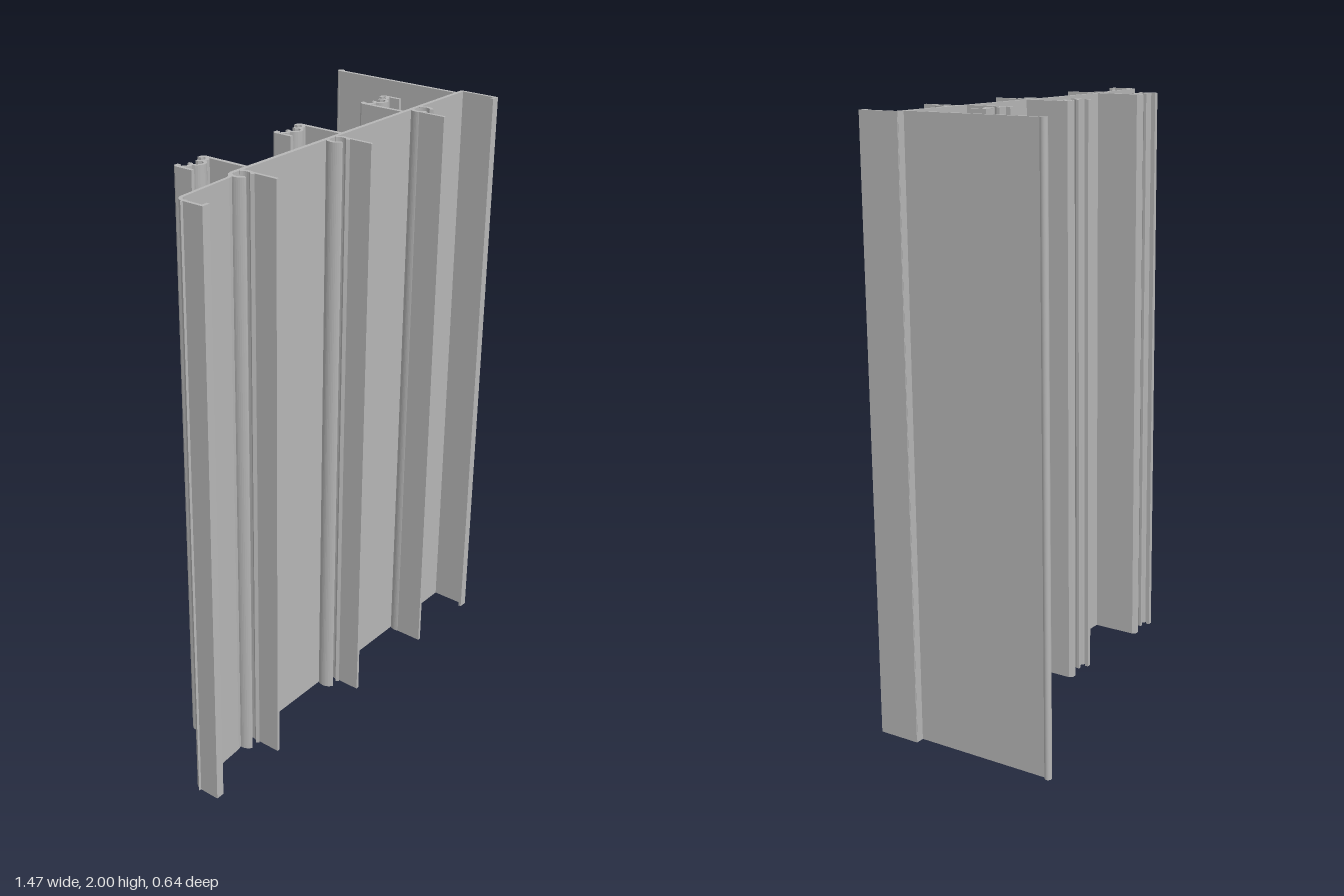
import * as THREE from 'three';

const HEIGHT = 2;
const aluminium = new THREE.MeshStandardMaterial({ color: 0xb6b6b6 });
aluminium.name = 'aluminium';

// Thin wall of constant thickness following a plan path of [x, z] points, raised to full height
function wall(name, path, thickness) {
  const p = path.map(([x, z]) => new THREE.Vector2(x, -z));
  const left = [], right = [];
  p.forEach((q, i) => {
    const a = q.clone().sub(p[Math.max(i - 1, 0)]).normalize();
    const b = p[Math.min(i + 1, p.length - 1)].clone().sub(q).normalize();
    const d = (i === 0 ? b : i === p.length - 1 ? a : a.clone().add(b)).clone().normalize();
    const ref = i === 0 ? b : a;
    const reach = thickness / 2 / Math.max(d.dot(ref), 0.4); // mitred corner
    const n = new THREE.Vector2(-d.y, d.x).multiplyScalar(reach);
    left.push(q.clone().add(n));
    right.push(q.clone().sub(n));
  });
  const shape = new THREE.Shape([...left, ...right.reverse()]);
  const geometry = new THREE.ExtrudeGeometry(shape, { depth: HEIGHT, bevelEnabled: false });
  geometry.rotateX(-Math.PI / 2);
  const mesh = new THREE.Mesh(geometry, aluminium);
  mesh.name = name;
  return mesh;
}

// Plan arc points; angles in degrees, 0 = +x, 90 = +z
function arc(cx, cz, r, from, to, steps = 12) {
  return Array.from({ length: steps + 1 }, (_, i) => {
    const t = THREE.MathUtils.degToRad(from + ((to - from) * i) / steps);
    return [cx + r * Math.cos(t), cz + r * Math.sin(t)];
  });
}

// One track: rear post and clip channel, front screw boss and fin
function track(name, cx, side) {
  const group = new THREE.Group();
  group.name = name;
  const add = (part, path, t) =>
    group.add(wall(part, path.map(([x, z]) => [cx + side * x, z]), t));

  // rear post and channel
  add('post', [[0.06, 0.183], [0.06, 0.022], [0.054, 0.015], [0.042, 0.015]], 0.014);
  add('channelArm', [[-0.061, 0.083], [-0.061, 0.022], [-0.056, 0.015], [-0.043, 0.015]], 0.012);
  add('channelCup', [[-0.017, 0.027], [-0.017, 0.036], ...arc(0, 0.045, 0.023, 180, 0),
    [0.017, 0.036], [0.017, 0.027]], 0.010);
  for (const s of [-1, 1]) {
    add('channelBridge', [[s * 0.06, 0.037], [s * 0.05, 0.037], [s * 0.043, 0.046],
      [s * 0.034, 0.047], [s * 0.022, 0.044]], 0.011);
  }
  // front screw boss, open towards the front, and its fin
  for (const s of [-1, 1]) {
    const claw = arc(0, 0.212, 0.031, -50, 62).map(([x, z]) => [s * x, z]);
    add('bossClaw', claw, 0.012);
  }
  add('fin', [[0.029, 0.215], [0.029, 0.32]], 0.011);
  return group;
}

export function createModel() {
  const model = new THREE.Group();
  model.name = 'extrudedProfile';

  // main web with its stepped left end and both lipped front flanges
  model.add(wall('mainWeb', [[-0.455, 0.183], [0.727, 0.183]], 0.014));
  model.add(wall('leftFlange', [
    [-0.70, 0.3145], [-0.7245, 0.3145], [-0.7245, 0.25],
    ...arc(-0.6945, 0.25, 0.03, 180, 266, 6),
    [-0.50, 0.207], [-0.485, 0.203], [-0.468, 0.187], [-0.455, 0.183], [-0.44, 0.183],
  ], 0.011));
  model.add(wall('rightFlange', [[0.7245, 0.177], [0.7245, 0.3145], [0.70, 0.3145]], 0.011));

  // long rear fin with a rounded bead on its edge
  model.add(wall('rearFin', [[0.694, 0.183], [0.694, -0.308]], 0.013));
  const bead = new THREE.Mesh(new THREE.CylinderGeometry(0.012, 0.012, HEIGHT, 20), aluminium);
  bead.name = 'rearFinBead';
  bead.position.set(0.699, HEIGHT / 2, -0.308);
  model.add(bead);

  // three tracks, the last one mirrored
  model.add(track('rightTrack', -0.447, 1));
  model.add(track('middleTrack', -0.002, 1));
  model.add(track('leftTrack', 0.444, -1));
  return model;
}
